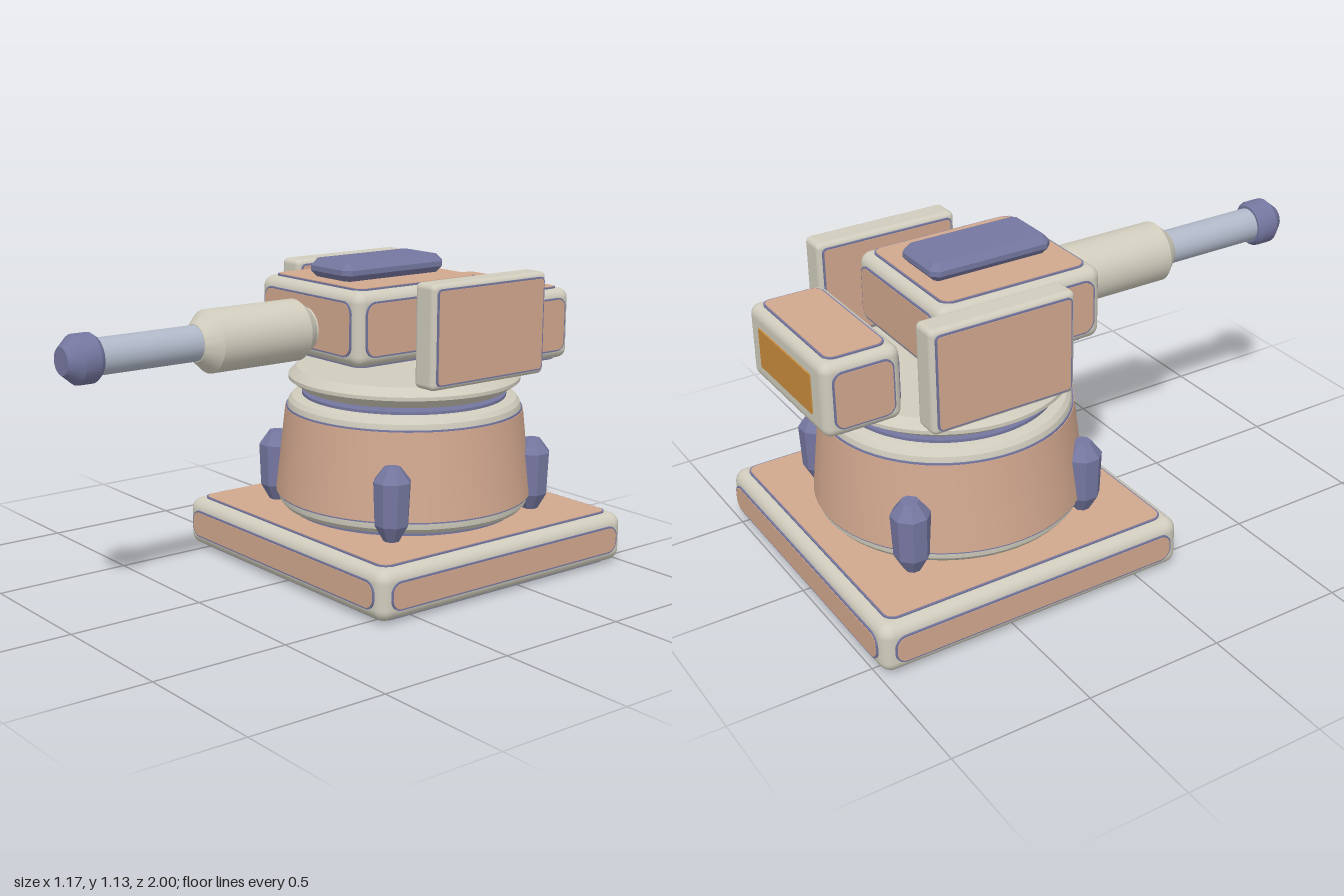
import * as THREE from 'three';
import { toCreasedNormals } from 'three/addons/utils/BufferGeometryUtils.js';
import { RoundedBoxGeometry } from 'three/addons/geometries/RoundedBoxGeometry.js';

const mat = (name, color) => Object.assign(new THREE.MeshStandardMaterial({ color }), { name });
const cream = mat('cream', 0xd0ccbd);
const tan = mat('tan', 0xd1a78e);
const navy = mat('slateBlue', 0x7577a0);
const steel = mat('steel', 0xb0b8c8);
const ochre = mat('ochre', 0xc88c3c);
const CZ = -0.415; // z of the turning axis

function add(parent, name, geo, material, x = 0, y = 0, z = 0) {
  const m = new THREE.Mesh(geo, material);
  m.name = name;
  m.position.set(x, y, z);
  parent.add(m);
  return m;
}

// Turned part from [radius, height] pairs, sharp at strong corners
function turned(points, sides = 64, crease = 0.45) {
  const g = new THREE.LatheGeometry(points.map(p => new THREE.Vector2(...p)), sides);
  return toCreasedNormals(g, crease);
}

function roundedPlate(w, h, r, depth) {
  const s = new THREE.Shape(), x = w / 2, y = h / 2;
  s.absarc(x - r, y - r, r, 0, Math.PI / 2);
  s.absarc(-x + r, y - r, r, Math.PI / 2, Math.PI);
  s.absarc(-x + r, -y + r, r, Math.PI, Math.PI * 1.5);
  s.absarc(x - r, -y + r, r, Math.PI * 1.5, Math.PI * 2);
  return new THREE.ExtrudeGeometry(s, { depth, bevelEnabled: false, curveSegments: 6 });
}

// Rotation that turns +z to each face, and which box dimensions span that face
const FACES = {
  front: [0, 0, 0, 1, 2], back: [0, Math.PI, 0, 1, 2],
  left: [0, Math.PI / 2, 2, 1, 0], right: [0, -Math.PI / 2, 2, 1, 0],
  top: [-Math.PI / 2, 0, 0, 2, 1], bottom: [Math.PI / 2, 0, 0, 2, 1],
};

// Rounded box with blue-edged tan panels on the listed faces
function panelBox(parent, name, size, pos, radius, margin, corner, faces) {
  const g = new THREE.Group();
  g.name = name;
  g.position.set(...pos);
  parent.add(g);
  add(g, name + 'Body', new RoundedBoxGeometry(...size, 4, radius), cream);
  for (const f of faces) {
    const [rx, ry, u, v, n] = FACES[f];
    const w = size[u] - margin * 2, h = size[v] - margin * 2;
    const holder = new THREE.Group();
    holder.name = f + 'Panel';
    holder.rotation.set(rx, ry, 0);
    g.add(holder);
    const d = size[n] / 2 - 0.002;
    add(holder, 'panelEdge', roundedPlate(w + 0.012, h + 0.012, corner + 0.006, 0.007), navy, 0, 0, d);
    add(holder, 'panelFace', roundedPlate(w, h, corner, 0.009), tan, 0, 0, d);
  }
  return g;
}

export function createModel() {
  const model = new THREE.Group();
  model.name = 'turret';

  // Square base
  panelBox(model, 'base', [1.156, 0.182, 1.156], [0, 0.098, CZ], 0.045, 0.046, 0.035, Object.keys(FACES));

  // Tapered drum with rims
  const drum = new THREE.Group();
  drum.name = 'drum';
  drum.position.z = CZ;
  model.add(drum);
  add(drum, 'drumFoot', turned([[0, 0.18], [0.42, 0.18], [0.42, 0.21], [0, 0.21]]), navy);
  add(drum, 'drumBody', turned([[0, 0.205], [0.42, 0.205], [0.446, 0.213], [0.46, 0.23], [0.464, 0.26],
    [0.43, 0.575], [0.425, 0.597], [0.412, 0.613], [0.39, 0.62], [0, 0.62]]), cream);
  add(drum, 'drumEdge', turned([[0.455, 0.253], [0.469, 0.253], [0.434, 0.578], [0.42, 0.578]]), navy);
  add(drum, 'drumBand', turned([[0.46, 0.259], [0.472, 0.259], [0.437, 0.572], [0.42, 0.572]]), tan);
  add(drum, 'drumCap', turned([[0, 0.61], [0.375, 0.61], [0.375, 0.63], [0, 0.63]]), navy);
  add(drum, 'turntable', turned([[0, 0.645], [0.375, 0.645], [0.425, 0.68], [0.425, 0.693],
    [0.395, 0.722], [0, 0.722]]), cream);

  // Four faceted struts around the drum
  for (const sx of [-1, 1]) for (const sz of [-1, 1]) {
    const strut = add(model, 'strut', turned([[0, 0.195], [0.028, 0.195], [0.062, 0.255], [0.068, 0.41],
      [0.03, 0.46], [0, 0.46]], 8, 0.1), navy, sx * 0.335, 0, CZ + sz * 0.335);
    strut.rotation.y = Math.PI / 8;
  }

  // Turret head
  panelBox(model, 'head', [0.56, 0.26, 0.616], [0, 0.933, -0.277], 0.04, 0.04, 0.035, Object.keys(FACES));

  // Faceted hatch on top
  const hx = 0.093, hz = 0.208, c = 0.012;
  const hatchShape = new THREE.Shape([[hx, hz - c], [hx - c, hz], [c - hx, hz], [-hx, hz - c],
    [-hx, c - hz], [c - hx, -hz], [hx - c, -hz], [hx, c - hz]].map(p => new THREE.Vector2(...p)));
  const hatchGeo = new THREE.ExtrudeGeometry(hatchShape,
    { depth: 0.018, bevelThickness: 0.024, bevelSize: 0.021, bevelSegments: 1 });
  add(model, 'hatch', hatchGeo, navy, 0, 1.092, -0.283).rotation.x = -Math.PI / 2;

  // Side shields and their pivots
  for (const s of [-1, 1]) {
    panelBox(model, 'shield', [0.1, 0.366, 0.53], [s * 0.378, 0.907, -0.44], 0.02, 0.022, 0.012, ['left', 'right']);
    const pivot = add(model, 'pivot', turned([[0, 0], [0.105, 0], [0.105, 0.03], [0.065, 0.065], [0, 0.065]], 16),
      navy, s * 0.265, 0.907, -0.425);
    pivot.rotation.z = -s * Math.PI / 2;
  }

  // Rear counterweight with a lamp plate
  panelBox(model, 'rearBox', [0.54, 0.262, 0.275], [0, 0.853, -0.856], 0.035, 0.037, 0.03,
    ['front', 'left', 'right', 'top', 'bottom']);
  add(model, 'lampPlate', new THREE.BoxGeometry(0.37, 0.14, 0.009), ochre, 0, 0.855, -0.9945);

  // Gun, turned along +z
  const gun = new THREE.Group();
  gun.name = 'gun';
  gun.position.y = 0.908;
  gun.rotation.x = Math.PI / 2;
  model.add(gun);
  add(gun, 'sleeve', turned([[0, 0.02], [0.075, 0.02], [0.075, 0.045], [0.108, 0.09], [0.108, 0.45],
    [0.064, 0.5], [0, 0.5]], 40), cream);
  add(gun, 'barrel', turned([[0, 0.48], [0.061, 0.48], [0.061, 0.89], [0, 0.89]], 32), steel);
  add(gun, 'muzzle', turned([[0, 0.88], [0.07, 0.88], [0.083, 0.897], [0.083, 0.955], [0.046, 1.0],
    [0, 1.0]], 20), navy);

  return model;
}
